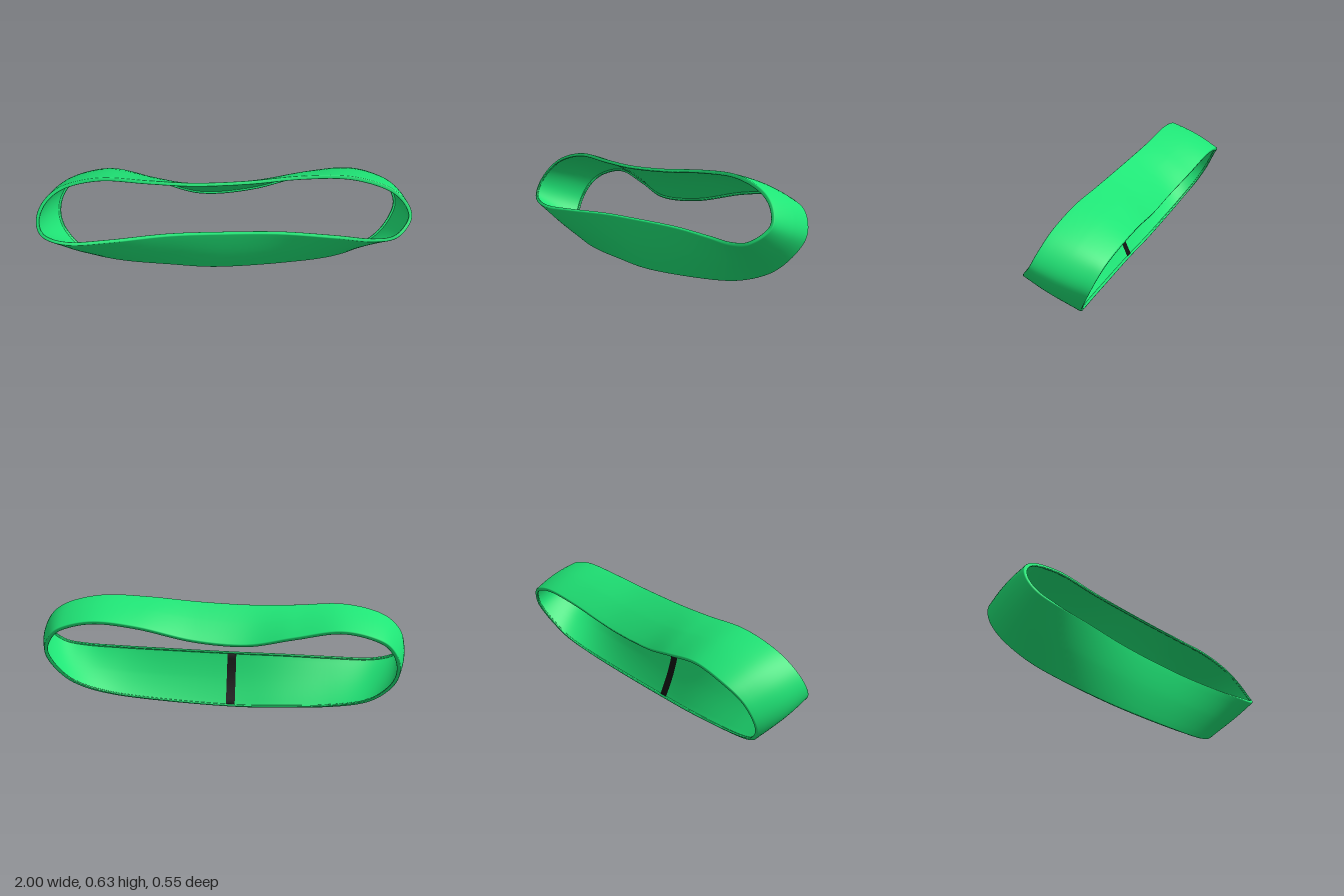
import * as THREE from 'three';

const green = new THREE.MeshStandardMaterial({ color: 0x1fe576 });
green.name = 'green';
const black = new THREE.MeshStandardMaterial({ color: 0x111111, side: THREE.DoubleSide });
black.name = 'black';

// Front rim and back rim of the twisted loop, matched point by point
const frontRim = [
  [-0.04, 0.298, 0.149], [0.3, 0.313, 0.127], [0.6, 0.32, 0.14], [0.8, 0.325, 0.157], [0.93, 0.35, 0.14],
  [1, 0.43, 0.07], [0.96, 0.52, 0.03], [0.85, 0.59, 0.01], [0.65, 0.63, 0.003], [0.4, 0.62, 0.018],
  [0.13, 0.592, 0.052], [-0.15, 0.575, 0.078], [-0.4, 0.577, 0.088], [-0.65, 0.585, 0.1], [-0.85, 0.54, 0.126],
  [-0.96, 0.46, 0.168], [-1, 0.36, 0.22], [-0.96, 0.28, 0.262], [-0.82, 0.25, 0.275], [-0.6, 0.262, 0.242],
  [-0.3, 0.285, 0.18],
];
const backRim = [
  [-0.04, 0.002, 0.055], [0.3, 0.03, 0.018], [0.6, 0.07, -0.03], [0.78, 0.13, -0.09], [0.88, 0.21, -0.143],
  [0.935, 0.32, -0.207], [0.91, 0.41, -0.245], [0.83, 0.475, -0.268], [0.65, 0.51, -0.276], [0.42, 0.48, -0.245],
  [0.13, 0.405, -0.185], [-0.15, 0.38, -0.15], [-0.4, 0.425, -0.172], [-0.65, 0.465, -0.188], [-0.85, 0.42, -0.17],
  [-0.94, 0.34, -0.12], [-0.965, 0.23, -0.065], [-0.92, 0.13, -0.01], [-0.8, 0.045, 0.045], [-0.6, 0.01, 0.063],
  [-0.3, 0, 0.06],
];
const COUNT = frontRim.length;
const BULGE = 0.012; // outward swell of the wall halfway between the rims
const toCurve = (pts) =>
  new THREE.CatmullRomCurve3(pts.map((p) => new THREE.Vector3(...p)), true, 'catmullrom', 0.5);
const curveA = toCurve(frontRim);
const curveB = toCurve(backRim);

// Sweep a section of [distance across the band, depth inward] pairs between both rims.
// The distance is measured from the front rim, or from the back rim when negative.
function sweep(section, from, to, steps, closed) {
  const pos = [], index = [];
  const n = section.length;
  const rows = closed ? steps : steps + 1;
  for (let i = 0; i < rows; i++) {
    const t = (((from + ((to - from) * i) / steps) / COUNT) % 1 + 1) % 1;
    const a = curveA.getPoint(t), b = curveB.getPoint(t);
    const tangent = curveA.getTangent(t).add(curveB.getTangent(t)).normalize();
    const across = b.clone().sub(a);
    const width = across.length();
    across.normalize();
    const inward = tangent.cross(across).normalize();
    for (const [w, d] of section) {
      const x = w < 0 ? width + w : w;
      const depth = d - BULGE * Math.sin((Math.PI * x) / width);
      const p = a.clone().addScaledVector(across, x).addScaledVector(inward, depth);
      pos.push(p.x, p.y, p.z);
    }
  }
  for (let i = 0; i < steps; i++) {
    const k = (i + 1) % rows;
    for (let j = 0; j < n; j++) {
      const m = (j + 1) % n;
      const p = i * n + j, q = k * n + j, r = i * n + m, s = k * n + m;
      index.push(p, r, q, q, r, s);
    }
  }
  const geo = new THREE.BufferGeometry();
  geo.setAttribute('position', new THREE.Float32BufferAttribute(pos, 3));
  geo.setIndex(index);
  geo.computeVertexNormals();
  return geo;
}

// Complete a half section with its mirror image at the back rim
const mirror = (half) => [...half, ...half.map(([w, d]) => [-w, d]).reverse()];

export function createModel() {
  const group = new THREE.Group();
  group.name = 'twistedBand';

  // Band with rounded outer edges and a small lip along the inside of each rim
  const edge = 0.0001, round = 0.005, corner = 0.0015;
  const lip = 0.02, wall = 0.01;
  const spans = [0.04, 0.07, 0.105, 0.14];
  const inner = spans.map((w) => [w, wall]).reverse();
  const outer = spans.map((w) => [w, 0]);
  const rim = [
    [0.014, wall], [0.0125, wall + 0.001], [0.0115, lip - 0.002], [0.009, lip],
    [0.003, lip], [edge, lip - 0.003], [edge, round], [corner, corner], [round, 0],
  ];
  const band = new THREE.Mesh(sweep(mirror([...inner, ...rim, ...outer]), 0, COUNT, 168, true), green);
  band.name = 'band';
  group.add(band);

  // Dark strip across the inside of the front wall
  const top = spans.map((w) => [w, wall + 0.004]).reverse();
  const ends = [[0.011, wall + 0.004], [0.011, wall - 0.001]];
  const base = spans.map((w) => [w, wall - 0.001]);
  const strip = new THREE.Mesh(sweep(mirror([...top, ...ends, ...base]), -0.09, 0.075, 4, false), black);
  strip.name = 'innerStrip';
  group.add(strip);

  return group;
}
